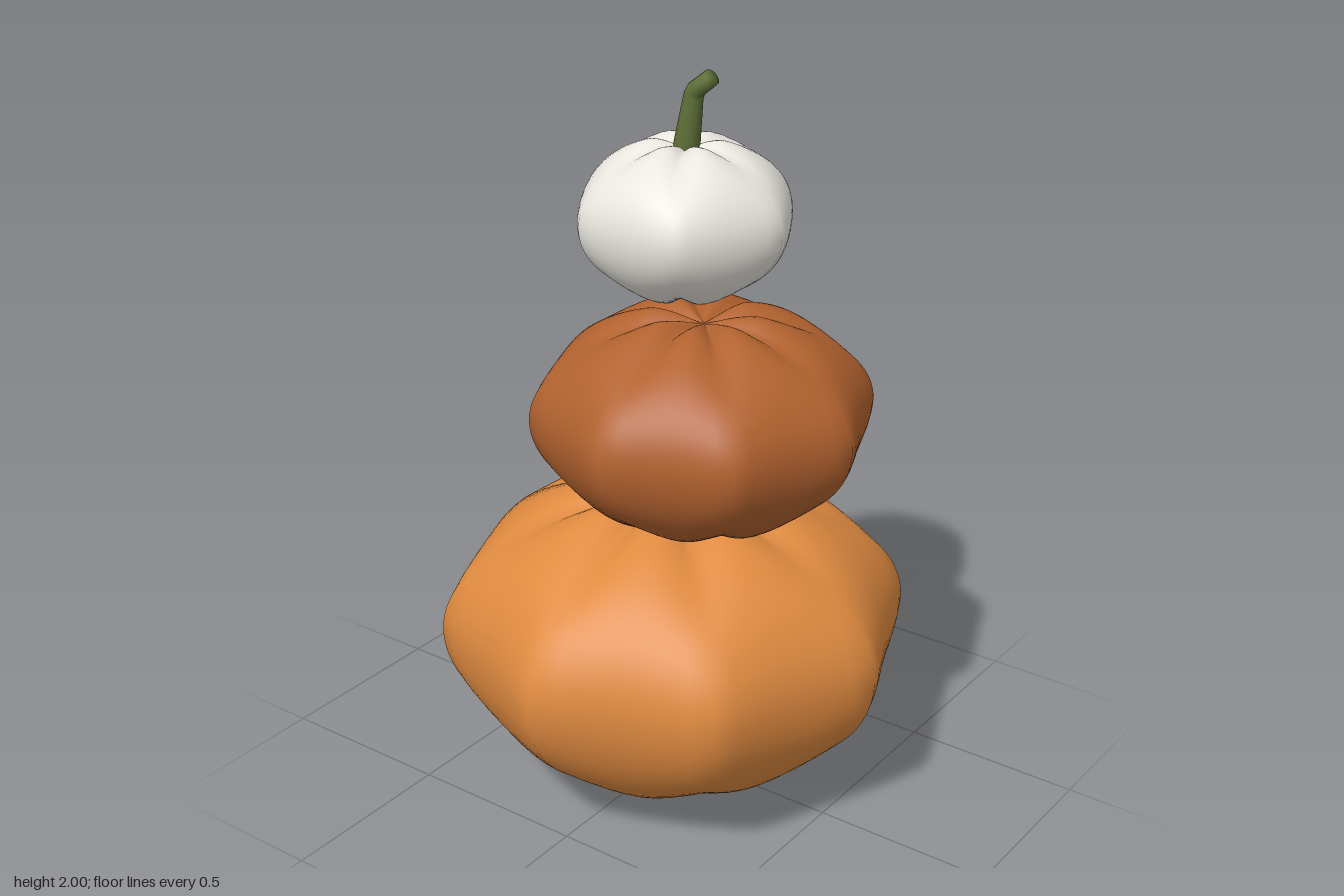
import * as THREE from 'three';

const material = (color) => new THREE.MeshStandardMaterial({ color });

// Closed surface from rings of points (first and last rings may shrink to a point)
function loft(rows, cols, pointAt) {
  const pos = [], index = [];
  for (let i = 0; i <= rows; i++)
    for (let j = 0; j < cols; j++) pos.push(...pointAt(i / rows, (j / cols) * Math.PI * 2));
  for (let i = 0; i < rows; i++)
    for (let j = 0; j < cols; j++) {
      const k = (j + 1) % cols;
      const a = i * cols + j, b = i * cols + k, c = a + cols, d = b + cols;
      index.push(a, c, b, b, c, d);
    }
  const geo = new THREE.BufferGeometry();
  geo.setAttribute('position', new THREE.Float32BufferAttribute(pos, 3));
  geo.setIndex(index);
  geo.computeVertexNormals();
  return geo;
}

// Ribbed gourd: pointed ribs at the waist that turn into creases towards the poles
function pumpkin(name, color, { lobes, radius, up, down, at }) {
  const geo = loft(48, lobes * 8, (v, angle) => {
    const phi = Math.PI * (1 - v); // from the bottom pole to the top pole
    const u = Math.sin(phi), c = Math.cos(phi);
    const swell = Math.abs(Math.sin((angle * lobes) / 2));
    const r = radius * u * (1 - 0.08 * swell);
    const bulge = 0.88 + 0.12 * swell * Math.min(1, u * 3);
    const dimple = c > 0 ? 1 - 0.05 * Math.exp(-30 * u * u) : 1 + 0.1 * Math.exp(-30 * u * u);
    const y = (c > 0 ? up : down) * c * bulge * dimple;
    // angle runs from +x towards -z so that faces point outwards
    return [r * Math.cos(angle), y, -r * Math.sin(angle)];
  });
  // reverse the winding to match rings rising from the bottom
  const idx = geo.index.array;
  for (let i = 0; i < idx.length; i += 3) [idx[i + 1], idx[i + 2]] = [idx[i + 2], idx[i + 1]];
  geo.computeVertexNormals();
  const mesh = new THREE.Mesh(geo, material(color));
  mesh.name = name;
  mesh.position.set(...at);
  return mesh;
}

// Bent, tapering stalk made of tilted rings: [x, y, radius, tilt]
function stalk() {
  const rings = [
    [0.0, 1.78, 0.036, 0.1], [0.004, 1.81, 0.034, 0.15], [0.023, 1.93, 0.026, 0.38],
    [0.032, 1.948, 0.025, 0.65], [0.078, 1.985, 0.023, 0.85], [0.078, 1.985, 0, 0.85],
  ];
  const geo = loft(rings.length - 1, 12, (v, angle) => {
    const [x, y, r, tilt] = rings[Math.round(v * (rings.length - 1))];
    const s = r * Math.cos(angle);
    return [x + s * Math.cos(tilt), y - s * Math.sin(tilt), r * Math.sin(angle)];
  });
  const mesh = new THREE.Mesh(geo, material(0x5f7038));
  mesh.name = 'stem';
  mesh.position.z = -0.045;
  return mesh;
}

export function createModel() {
  const group = new THREE.Group();
  group.name = 'stackedPumpkins';
  group.add(
    pumpkin('bottomPumpkin', 0xdf8a40, { lobes: 8, radius: 0.645, up: 0.41, down: 0.475, at: [0, 0.465, 0] }),
    pumpkin('middlePumpkin', 0xb2622f, { lobes: 8, radius: 0.46, up: 0.29, down: 0.33, at: [0.09, 1.105, 0] }),
    pumpkin('topPumpkin', 0xe8e6de, { lobes: 6, radius: 0.297, up: 0.21, down: 0.23, at: [0, 1.615, -0.045] }),
    stalk(),
  );
  return group;
}
